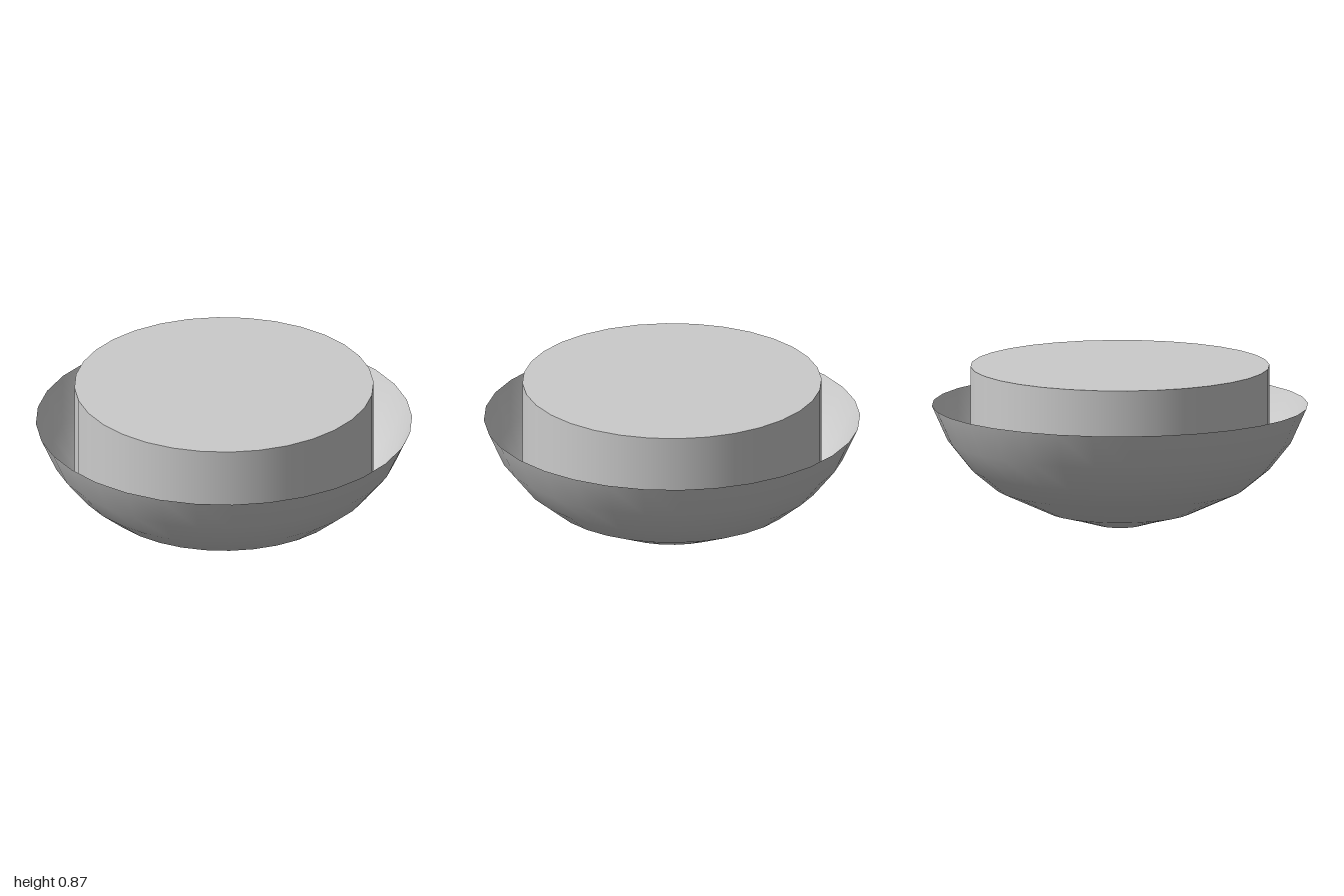
import * as THREE from 'three';

const SEGMENTS = 32;

export function createModel() {
  const group = new THREE.Group();
  const material = new THREE.MeshStandardMaterial({ color: 0xcccccc });
  const shellMaterial = new THREE.MeshStandardMaterial({ color: 0xcccccc, side: THREE.DoubleSide });

  // Thin open bowl, turned from a rounded profile
  const profile = [
    [0, 0], [0.12, 0.015], [0.25, 0.053], [0.385, 0.088],
    [0.665, 0.217], [0.8, 0.328], [0.917, 0.475], [1, 0.66],
  ].map(([r, y]) => new THREE.Vector2(r, y));
  const bowl = new THREE.Mesh(new THREE.LatheGeometry(profile, SEGMENTS), shellMaterial);
  bowl.name = 'bowl';
  group.add(bowl);

  // Solid drum resting inside the bowl and rising above its rim
  const bottom = 0.33, top = 0.87;
  const drum = new THREE.Mesh(
    new THREE.CylinderGeometry(0.795, 0.795, top - bottom, SEGMENTS), material);
  drum.position.y = (top + bottom) / 2;
  drum.name = 'drum';
  group.add(drum);

  return group;
}
